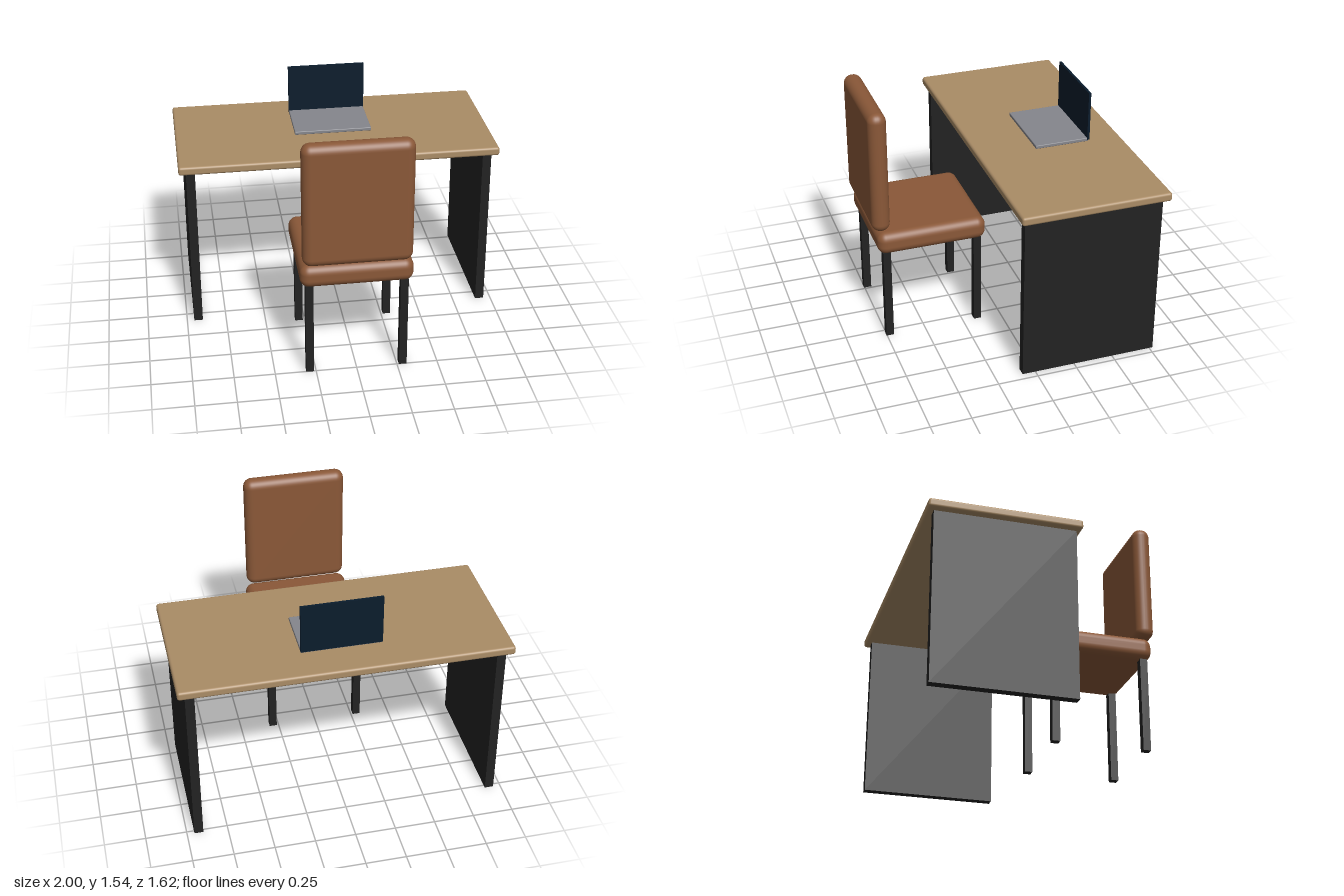
import * as THREE from 'three';
import { RoundedBoxGeometry } from 'three/addons/geometries/RoundedBoxGeometry.js';

const material = (name, color) => {
  const m = new THREE.MeshStandardMaterial({ color });
  m.name = name;
  return m;
};

// Box from its min and max on each axis; a radius rounds its edges
function block(name, mat, [x0, x1], [y0, y1], [z0, z1], radius = 0) {
  const size = [x1 - x0, y1 - y0, z1 - z0];
  const geometry = radius
    ? new RoundedBoxGeometry(...size, 5, radius)
    : new THREE.BoxGeometry(...size);
  const mesh = new THREE.Mesh(geometry, mat);
  mesh.name = name;
  mesh.position.set((x0 + x1) / 2, (y0 + y1) / 2, (z0 + z1) / 2);
  return mesh;
}

function group(name, ...parts) {
  const g = new THREE.Group();
  g.name = name;
  g.add(...parts);
  return g;
}

export function createModel() {
  const wood = material('wood', 0xaa8c66);
  const leather = material('brown leather', 0x8a5838);
  const black = material('black metal', 0x222222);
  const grey = material('laptop grey', 0x85868c);
  const navy = material('dark screen', 0x0a1c2c);

  // Desk: rounded top on two full-depth side panels
  const desk = group('desk',
    block('deskTop', wood, [-1, 1], [1.06, 1.115], [-0.81, 0.112], 0.016),
    block('leftPanel', black, [0.9, 0.955], [0, 1.062], [-0.772, 0.082]),
    block('rightPanel', black, [-0.955, -0.9], [0, 1.062], [-0.772, 0.082]));

  // Laptop: flat base with an upright screen at its rear edge
  const laptop = group('laptop',
    block('laptopBase', grey, [-0.245, 0.245], [1.118, 1.14], [-0.592, -0.248], 0.005),
    block('laptopScreen', navy, [-0.247, 0.247], [1.128, 1.445], [-0.599, -0.584]));

  // Chair: padded seat and backrest, facing the desk
  const chair = group('chair',
    block('seat', leather, [-0.34, 0.34], [0.6, 0.744], [0.1, 0.783], 0.055),
    block('backrest', leather, [-0.328, 0.328], [0.755, 1.537], [0.697, 0.81], 0.054));
  for (const [side, x] of [['left', 0.286], ['right', -0.286]]) {
    for (const [end, z] of [['Near', 0.729], ['Far', 0.153]]) {
      chair.add(block(side + end + 'Leg', black,
        [x - 0.024, x + 0.024], [0, 0.604], [z - 0.024, z + 0.024]));
    }
  }

  return group('deskAndChair', desk, laptop, chair);
}
